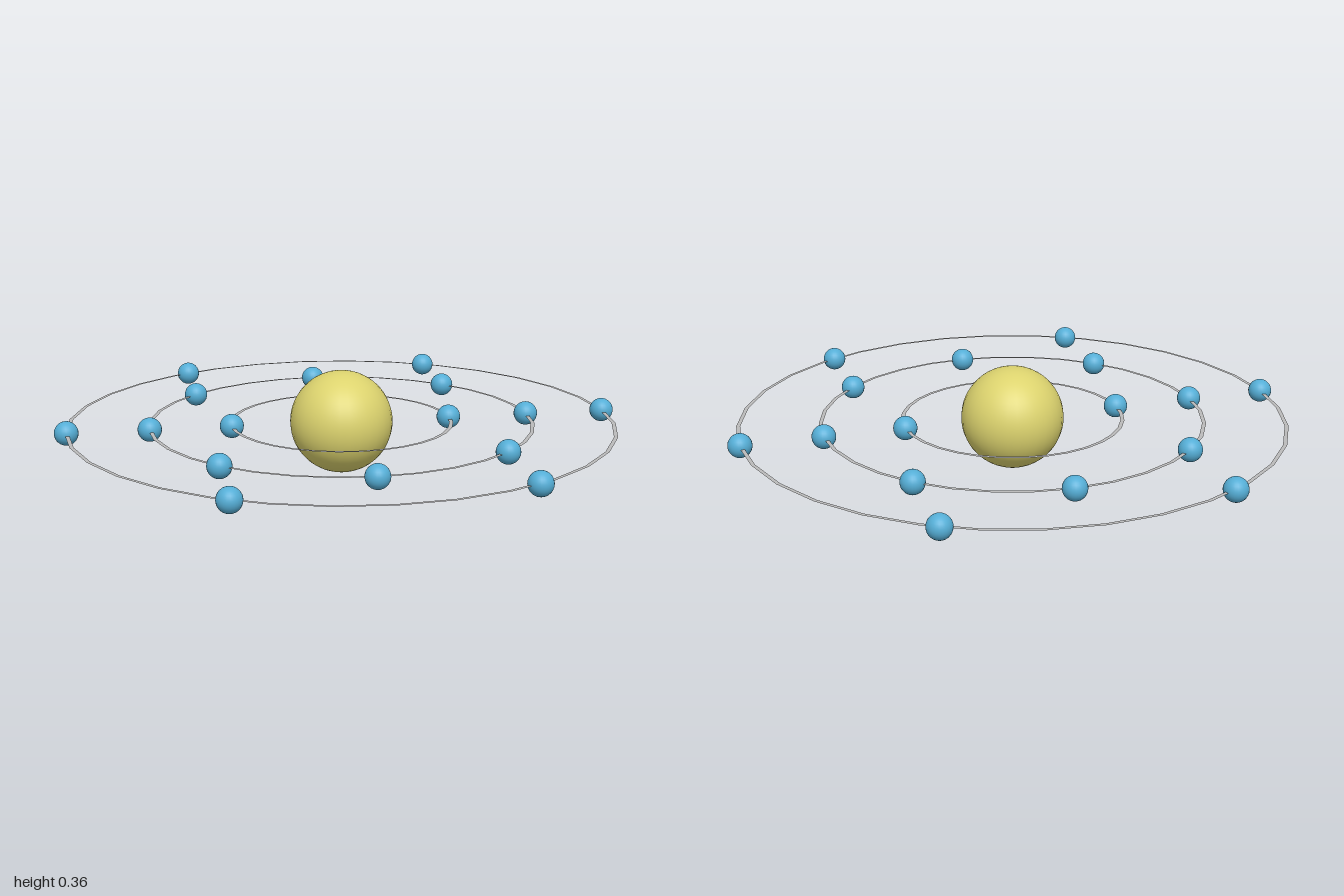
import * as THREE from 'three';

export function createModel() {
  const model = new THREE.Group();
  model.name = 'atom';

  const yellow = new THREE.MeshStandardMaterial({ color: 0xdcd36e });
  yellow.name = 'nucleus yellow';
  const blue = new THREE.MeshStandardMaterial({ color: 0x55aed6 });
  blue.name = 'electron blue';
  const grey = new THREE.MeshStandardMaterial({ color: 0xbbbbbb, side: THREE.DoubleSide });
  grey.name = 'orbit grey';

  const centreY = 0.181;
  const electronRadius = 0.042;

  // Central ball
  const nucleus = new THREE.Mesh(new THREE.SphereGeometry(0.181, 32, 32), yellow);
  nucleus.name = 'nucleus';
  nucleus.position.y = centreY;
  model.add(nucleus);

  // Flat orbits, each with evenly spaced electrons
  const shells = [
    { name: 'innerShell', radius: 0.388, count: 2 },
    { name: 'middleShell', radius: 0.673, count: 8 },
    { name: 'outerShell', radius: 0.958, count: 6 },
  ];
  const electronGeometry = new THREE.SphereGeometry(electronRadius, 24, 16);

  for (const { name, radius, count } of shells) {
    const shell = new THREE.Group();
    shell.name = name;
    shell.position.y = centreY;

    const orbit = new THREE.Mesh(
      new THREE.RingGeometry(radius - 0.007, radius + 0.007, 32).rotateX(-Math.PI / 2), grey);
    orbit.name = 'orbit';
    shell.add(orbit);

    for (let i = 0; i < count; i++) {
      const angle = (i / count) * Math.PI * 2;
      const electron = new THREE.Mesh(electronGeometry, blue);
      electron.name = 'electron';
      electron.position.set(Math.cos(angle) * radius, 0, Math.sin(angle) * radius);
      shell.add(electron);
    }
    model.add(shell);
  }

  return model;
}
